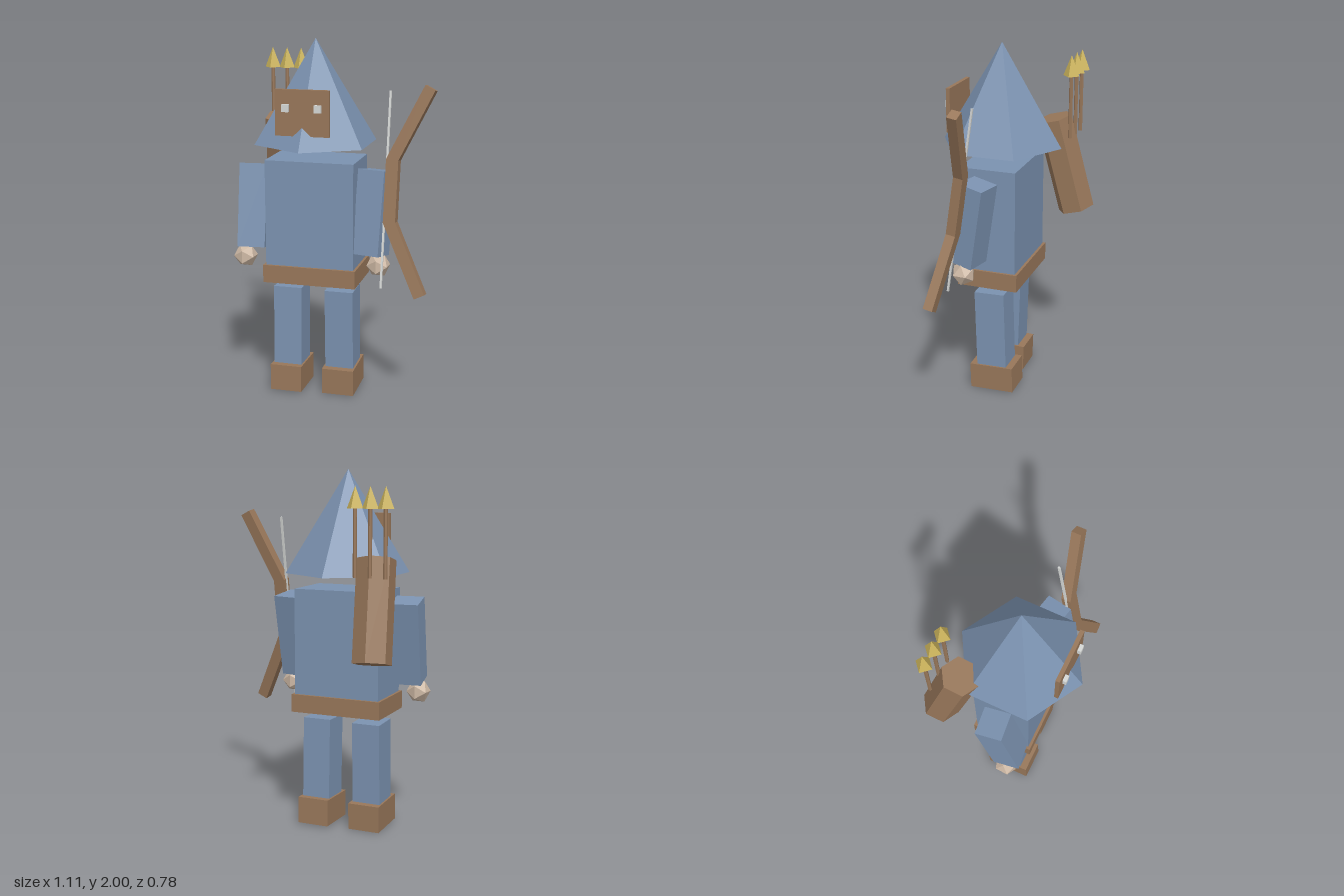
import * as THREE from 'three';

const mat = (name, color) => {
  const m = new THREE.MeshStandardMaterial({ color, flatShading: true });
  m.name = name;
  return m;
};

export function createModel() {
  const cloth = mat('blue cloth', 0x7b92b0);
  const leather = mat('brown leather', 0x98775a);
  const skin = mat('skin', 0xcdb8a4);
  const gold = mat('gold', 0xcdb55c);
  const pale = mat('pale grey', 0xd6d8d6);

  const model = new THREE.Group();
  model.name = 'archer';
  const add = (parent, name, geometry, material, x, y, z) => {
    const mesh = new THREE.Mesh(geometry, material);
    mesh.name = name;
    mesh.position.set(x, y, z);
    parent.add(mesh);
    return mesh;
  };
  const box = (w, h, d) => new THREE.BoxGeometry(w, h, d);

  // Body turned a little to its left
  const body = new THREE.Group();
  body.name = 'body';
  body.position.set(-0.11, 0, 0.045);
  body.rotation.y = 0.06;
  model.add(body);

  add(body, 'torso', box(0.497, 0.6, 0.32), cloth, 0, 1.05, 0);
  add(body, 'belt', box(0.525, 0.1, 0.35), leather, 0, 0.71, 0);
  add(body, 'hood', new THREE.ConeGeometry(0.345, 0.565, 6), cloth, 0, 1.717, 0.004);

  // Mask and eyes
  add(body, 'mask', box(0.294, 0.245, 0.022), leather, 0, 1.632, 0.264);
  for (const s of [-1, 1]) add(body, 'eye', box(0.038, 0.04, 0.02), pale, s * 0.088, 1.658, 0.285);

  // Legs in a slight stride, arms swung forward
  for (const s of [-1, 1]) {
    const side = s > 0 ? 'left' : 'right';
    const leg = new THREE.Group();
    leg.name = side + 'Leg';
    leg.position.set(s * 0.148, 0.61, 0);
    leg.rotation.x = s * 0.03;
    body.add(leg);
    add(leg, side + 'Trouser', box(0.162, 0.46, 0.175), cloth, 0, -0.23, 0);
    add(leg, side + 'Boot', box(0.182, 0.15, 0.255), leather, 0, -0.531, 0);

    const arm = add(model, side + 'Arm', box(0.155, 0.465, 0.15), cloth,
      s > 0 ? 0.23 : -0.452, 1.07, s > 0 ? 0.077 : 0.115);
    arm.rotation.set(s > 0 ? -0.16 : -0.2, -s * 0.16, 0, 'YXZ');

    add(model, side + 'Hand', new THREE.IcosahedronGeometry(0.068, 0), skin,
      s > 0 ? 0.27 : -0.495, 0.785, s > 0 ? 0.115 : 0.16);
  }

  // Bow and string, tilted together
  const bow = new THREE.Group();
  bow.name = 'bow';
  bow.position.set(0.342, 1.205, 0.115);
  bow.rotation.x = -0.15;
  model.add(bow);
  const outline = [[-0.035, 0.172], [0.158, 0.57], [0.213, 0.542], [0.033, 0.165]];
  const points = [...outline, ...outline.slice().reverse().map(([x, y]) => [x, -y])];
  const shape = new THREE.Shape(points.map(([x, y]) => new THREE.Vector2(x, y)));
  const limbs = new THREE.ExtrudeGeometry(shape, { depth: 0.055, bevelEnabled: false });
  add(bow, 'bowLimbs', limbs, leather, 0, 0, -0.0275);
  add(bow, 'bowString', box(0.011, 1.065, 0.011), pale, -0.035, 0, 0);

  // Six-sided quiver leaning on the back
  const low = new THREE.Vector3(-0.42, 1.0, -0.288);
  const high = new THREE.Vector3(-0.38, 1.535, -0.155);
  const axis = high.clone().sub(low);
  const mid = low.clone().add(high).multiplyScalar(0.5);
  const tube = new THREE.CylinderGeometry(0.106, 0.106, axis.length(), 6).rotateY(0.1);
  const quiver = add(model, 'quiver', tube, leather, mid.x, mid.y, mid.z);
  quiver.quaternion.setFromUnitVectors(new THREE.Vector3(0, 1, 0), axis.normalize());

  // Arrows
  for (const x of [-0.487, -0.4, -0.314]) {
    add(model, 'arrowShaft', new THREE.CylinderGeometry(0.011, 0.011, 0.36, 6), leather, x, 1.625, -0.277);
    add(model, 'arrowHead', new THREE.ConeGeometry(0.047, 0.115, 4), gold, x, 1.857, -0.277);
  }

  return model;
}
